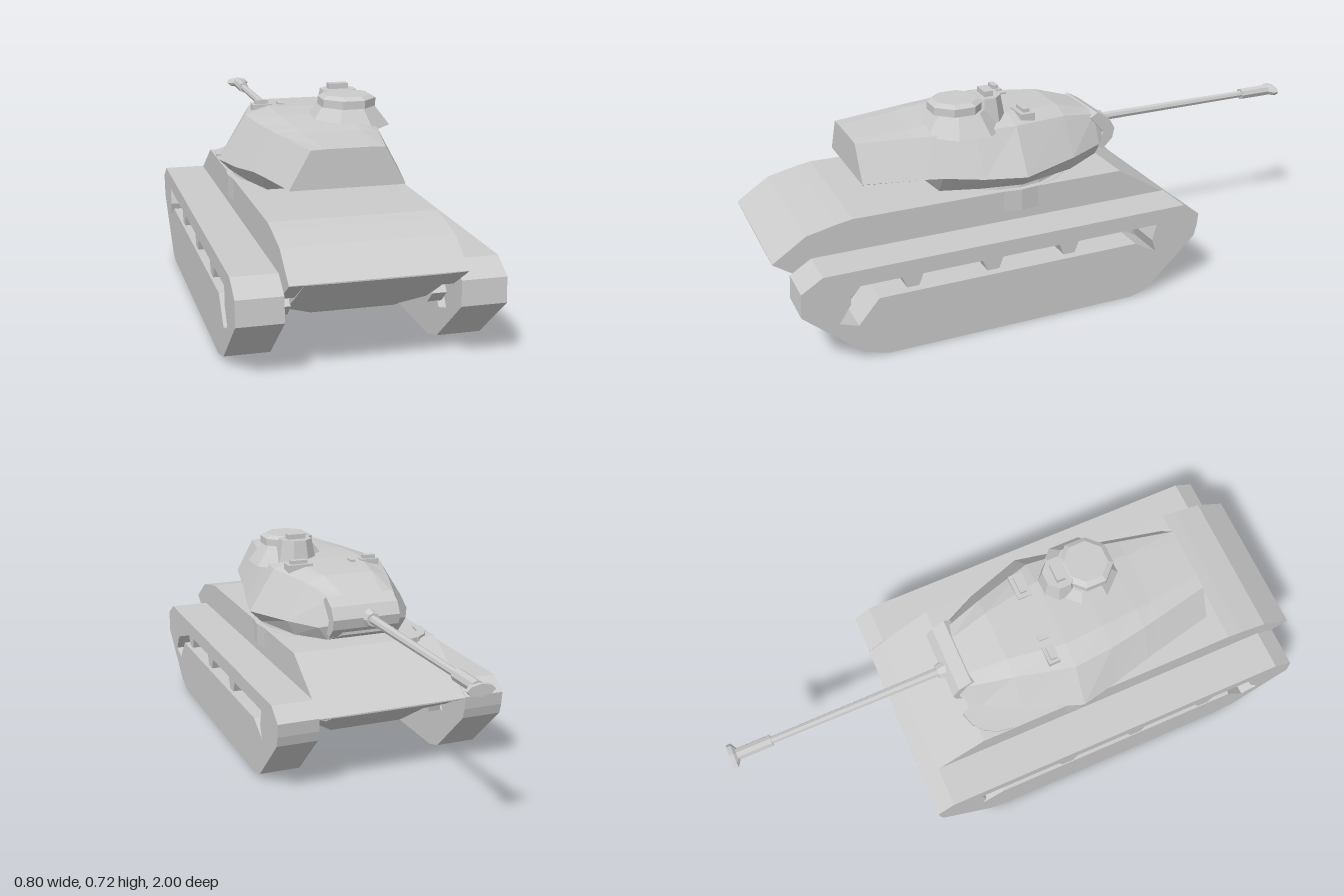
import * as THREE from 'three';

const material = new THREE.MeshStandardMaterial({ color: 0xcccccc, flatShading: true, side: THREE.DoubleSide });

export function createModel() {
  const model = new THREE.Group();

  const add = (name, geometry, x = 0, y = 0, z = 0) => {
    const mesh = new THREE.Mesh(geometry, material);
    mesh.name = name;
    mesh.position.set(x, y, z);
    model.add(mesh);
    return mesh;
  };

  const box = (name, w, h, d, x, y, z) => add(name, new THREE.BoxGeometry(w, h, d), x, y, z);

  // Side profile of [z, y] points, extruded across the width from x0 to x1
  const sideExtrude = (name, points, x0, x1, hole) => {
    const toVec = (p) => new THREE.Vector2(p[0], p[1]);
    const shape = new THREE.Shape(points.map(toVec));
    if (hole) shape.holes.push(new THREE.Path(hole.map(toVec)));
    const g = new THREE.ExtrudeGeometry(shape, { depth: x1 - x0, bevelEnabled: false });
    g.rotateY(-Math.PI / 2);
    return add(name, g, x1);
  };

  // Symmetric loft: each section is { z, half: [x, y] points from bottom to top }, z descending
  const loft = (name, sections) => {
    const n = sections[0].half.length * 2;
    const position = [];
    const index = [];
    for (const { z, half } of sections) {
      for (const [x, y] of half) position.push(x, y, z);
      for (const [x, y] of [...half].reverse()) position.push(-x, y, z);
    }
    for (let i = 0; i < sections.length - 1; i++) {
      for (let j = 0; j < n; j++) {
        const a = i * n + j, b = i * n + (j + 1) % n;
        index.push(a, a + n, b + n, a, b + n, b);
      }
    }
    const last = (sections.length - 1) * n;
    for (let j = 1; j < n - 1; j++) {
      index.push(0, j, j + 1, last, last + j + 1, last + j);
    }
    const g = new THREE.BufferGeometry();
    g.setAttribute('position', new THREE.Float32BufferAttribute(position, 3));
    g.setIndex(index);
    const flat = g.toNonIndexed();
    flat.computeVertexNormals();
    return add(name, flat);
  };

  // Hull: [z, deck y, sponson y, lower side y, belly y]
  loft('hull', [
    [1.0, 0.312, 0.31, 0.309, 0.308],
    [0.89, 0.385, 0.235, 0.23, 0.225],
    [0.79, 0.407, 0.235, 0.165, 0.15],
    [0.74, 0.415, 0.235, 0.17, 0.125],
    [-0.2, 0.412, 0.235, 0.17, 0.12],
    [-0.38, 0.3, 0.235, 0.23, 0.225],
    [-0.435, 0.263, 0.26, 0.259, 0.258],
  ].map(([z, deck, sponson, lower, belly]) => ({
    z, half: [[0.13, belly], [0.217, lower], [0.217, sponson], [0.26, sponson], [0.26, deck]],
  })));

  // Slot along the track side, with support rollers hanging from its upper edge
  const slot = [[0.8, 0.255], [0.8, 0.2], [0.84, 0.14], [0.78, 0.12], [0.71, 0.2],
    [-0.19, 0.2], [-0.27, 0.155], [-0.255, 0.2], [-0.27, 0.255]];
  for (const z of [0.06, 0.33, 0.6]) {
    slot.push([z - 0.035, 0.255], [z - 0.02, 0.217], [z + 0.02, 0.217], [z + 0.035, 0.255]);
  }
  const trackOutline = [[0.88, 0.308], [0.95, 0.265], [0.955, 0.187], [0.77, 0.025], [0.7, 0.003],
    [0.68, 0], [-0.18, 0], [-0.24, 0.018], [-0.42, 0.185], [-0.43, 0.22], [-0.435, 0.265], [-0.375, 0.308]];
  const bracket = [[0.8, 0.235], [0.84, 0.19], [0.8, 0.15], [0.76, 0.15], [0.71, 0.19],
    [-0.19, 0.19], [-0.25, 0.155], [-0.27, 0.235]];
  for (const s of [-1, 1]) {
    const side = s > 0 ? 'left' : 'right';
    const span = (a, b) => (s > 0 ? [a, b] : [-b, -a]);
    sideExtrude(side + 'Track', trackOutline, ...span(0.26, 0.4), slot);
    sideExtrude(side + 'TrackBracket', bracket, ...span(0.215, 0.26));
  }

  // Turret ring swelling slightly out of the hull sides
  add('turretRingBulge', new THREE.CylinderGeometry(0.268, 0.268, 0.073, 24), 0, 0.377, 0.17);
  add('turretRing', new THREE.CylinderGeometry(0.245, 0.25, 0.03, 20), 0, 0.418, 0.17);

  // Turret: [z, bottom y, bottom w, rim y, rim w, roof y, roof w, crown y]
  loft('turret', [
    [0.68, 0.485, 0.177, 0.487, 0.18, 0.604, 0.115, 0.606],
    [0.49, 0.485, 0.2, 0.487, 0.222, 0.607, 0.155, 0.615],
    [0.43, 0.425, 0.19, 0.485, 0.235, 0.608, 0.168, 0.622],
    [0.3, 0.425, 0.23, 0.47, 0.265, 0.61, 0.19, 0.632],
    [0.16, 0.425, 0.255, 0.465, 0.295, 0.612, 0.203, 0.634],
    [-0.04, 0.425, 0.2, 0.475, 0.225, 0.6, 0.15, 0.622],
    [-0.17, 0.435, 0.13, 0.48, 0.16, 0.575, 0.115, 0.583],
    [-0.22, 0.46, 0.09, 0.5, 0.11, 0.545, 0.09, 0.55],
  ].map(([z, by, bw, ry, rw, ty, tw, cy]) => ({
    z, half: [[bw, by], [rw, ry], [tw, ty], [tw * 0.6, cy]],
  })));

  // Gun shield wrapped around the turret nose
  sideExtrude('mantlet', [[-0.15, 0.57], [-0.175, 0.585], [-0.22, 0.56], [-0.243, 0.52],
    [-0.235, 0.485], [-0.2, 0.45], [-0.18, 0.46], [-0.2, 0.51]], -0.105, 0.135);

  // Gun, laid along -z
  const tube = (name, r0, r1, z0, z1, sides = 8) => {
    const g = new THREE.CylinderGeometry(r1, r0, z0 - z1, sides);
    g.rotateX(-Math.PI / 2);
    return add(name, g, 0, 0.514, (z0 + z1) / 2);
  };
  tube('barrelCollar', 0.035, 0.024, -0.22, -0.26);
  tube('barrel', 0.016, 0.013, -0.24, -0.86);
  tube('muzzleSleeve', 0.021, 0.021, -0.855, -0.975);
  tube('muzzleFlare', 0.02, 0.045, -0.97, -0.985).scale.y = 0.42;
  tube('muzzleLip', 0.045, 0.045, -0.985, -1.0).scale.y = 0.42;

  // Commander's cupola
  const cupolaX = 0.096, cupolaZ = 0.33;
  const octagon = (name, rTop, rBottom, y0, y1, z = cupolaZ) => {
    const g = new THREE.CylinderGeometry(rTop, rBottom, y1 - y0, 8);
    g.rotateY(Math.PI / 8);
    return add(name, g, cupolaX, (y0 + y1) / 2, z);
  };
  octagon('cupolaBase', 0.092, 0.145, 0.6, 0.667, 0.315);
  octagon('cupolaWall', 0.094, 0.094, 0.665, 0.691);
  octagon('cupolaRoof', 0.075, 0.094, 0.691, 0.702);
  const bump = octagon('cupolaSightBase', 0.06, 0.075, 0.62, 0.7, 0.23);
  bump.scale.z = 0.9;
  box('cupolaSight', 0.065, 0.022, 0.03, cupolaX, 0.707, 0.225);

  // Roof periscopes
  box('rightPeriscopeBase', 0.065, 0.03, 0.04, -0.135, 0.62, 0.1);
  box('rightPeriscope', 0.045, 0.03, 0.02, -0.135, 0.633, 0.1);
  box('roofVent', 0.018, 0.02, 0.035, -0.07, 0.627, 0.1);
  box('leftPeriscopeBase', 0.09, 0.035, 0.05, 0.13, 0.62, 0.105);
  box('leftPeriscope', 0.06, 0.04, 0.022, 0.13, 0.63, 0.105);

  // Small guard blocks in an arc on the front deck
  for (let i = 0; i < 4; i++) {
    const a = 0.15 + i * 0.38;
    const block = box('deckBlock', 0.03, 0.03, 0.055,
      -0.135 - 0.105 * Math.cos(a), 0.405, -0.1 - 0.11 * Math.sin(a));
    block.rotation.y = -a;
  }

  return model;
}
